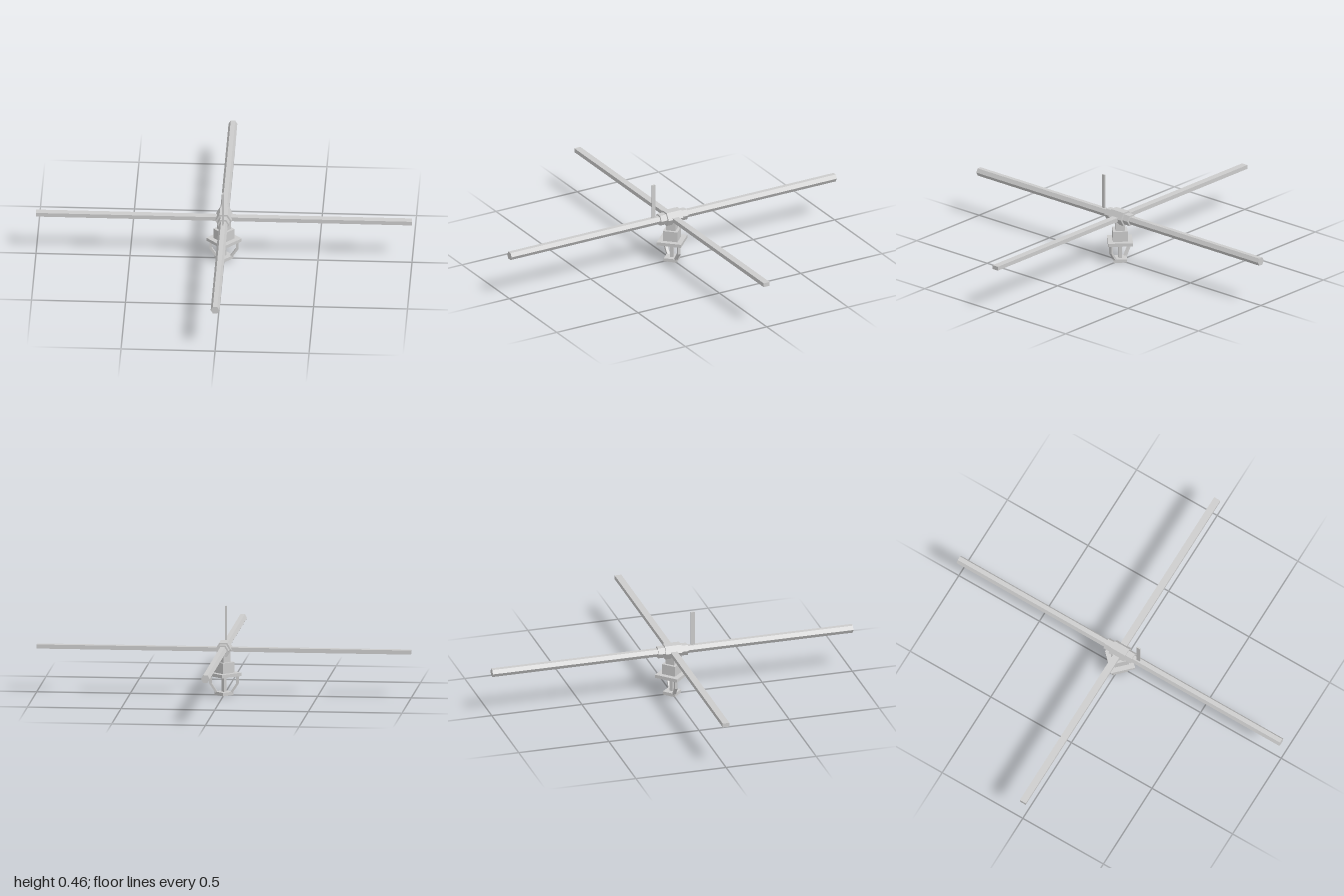
import * as THREE from 'three';

const material = new THREE.MeshStandardMaterial({ color: 0xcccccc, flatShading: true });
const AXIS_Y = 0.25; // height of the pipes' centre line

export function createModel() {
  const model = new THREE.Group();

  function add(name, geometry, x = 0, y = 0, z = 0) {
    const mesh = new THREE.Mesh(geometry, material);
    mesh.name = name;
    mesh.position.set(x, y, z);
    model.add(mesh);
    return mesh;
  }

  // Hexagonal bar along z with corners at left and right
  const hexBar = (radius, length) =>
    new THREE.CylinderGeometry(radius, radius, length, 6).rotateY(Math.PI / 6).rotateX(Math.PI / 2);

  // Four-sided block with its corners on the x and z axes
  function diamond(name, radius, y0, y1) {
    add(name, new THREE.CylinderGeometry(radius, radius, y1 - y0, 4), 0, (y0 + y1) / 2, 0);
  }

  // Crossing pipes
  add('mainPipe', hexBar(0.0235, 2), 0, AXIS_Y, 0);
  add('crossPipe', new THREE.BoxGeometry(2, 0.022, 0.037), 0, 0.247, 0);

  // Fitting around the crossing
  add('fittingSleeve', hexBar(0.033, 0.166), 0, AXIS_Y, 0);
  add('fittingCollar', hexBar(0.043, 0.09), 0, AXIS_Y, 0);

  // Hanger rod
  add('hangerRod', new THREE.BoxGeometry(0.008, 0.2, 0.02), 0, 0.36, 0.115);

  // Head below the fitting
  diamond('neck', 0.036, 0.178, 0.245);
  diamond('body', 0.056, 0.12, 0.178);
  diamond('flange', 0.094, 0.103, 0.121);
  diamond('centrePost', 0.013, 0.015, 0.105);
  diamond('deflector', 0.051, 0, 0.018);

  // Bent frame arms, mirrored left and right
  for (const side of [1, -1]) {
    const outline = [
      [0.065, 0.108], [0.078, 0.108], [0.078, 0.06],
      [0.045, 0.012], [0.031, 0.012], [0.065, 0.063],
    ].map(([x, y]) => new THREE.Vector2(x * side, y));
    const arm = new THREE.ExtrudeGeometry(new THREE.Shape(outline), { depth: 0.016, bevelEnabled: false });
    add(side > 0 ? 'leftFrameArm' : 'rightFrameArm', arm, 0, 0, -0.008);
  }

  return model;
}
